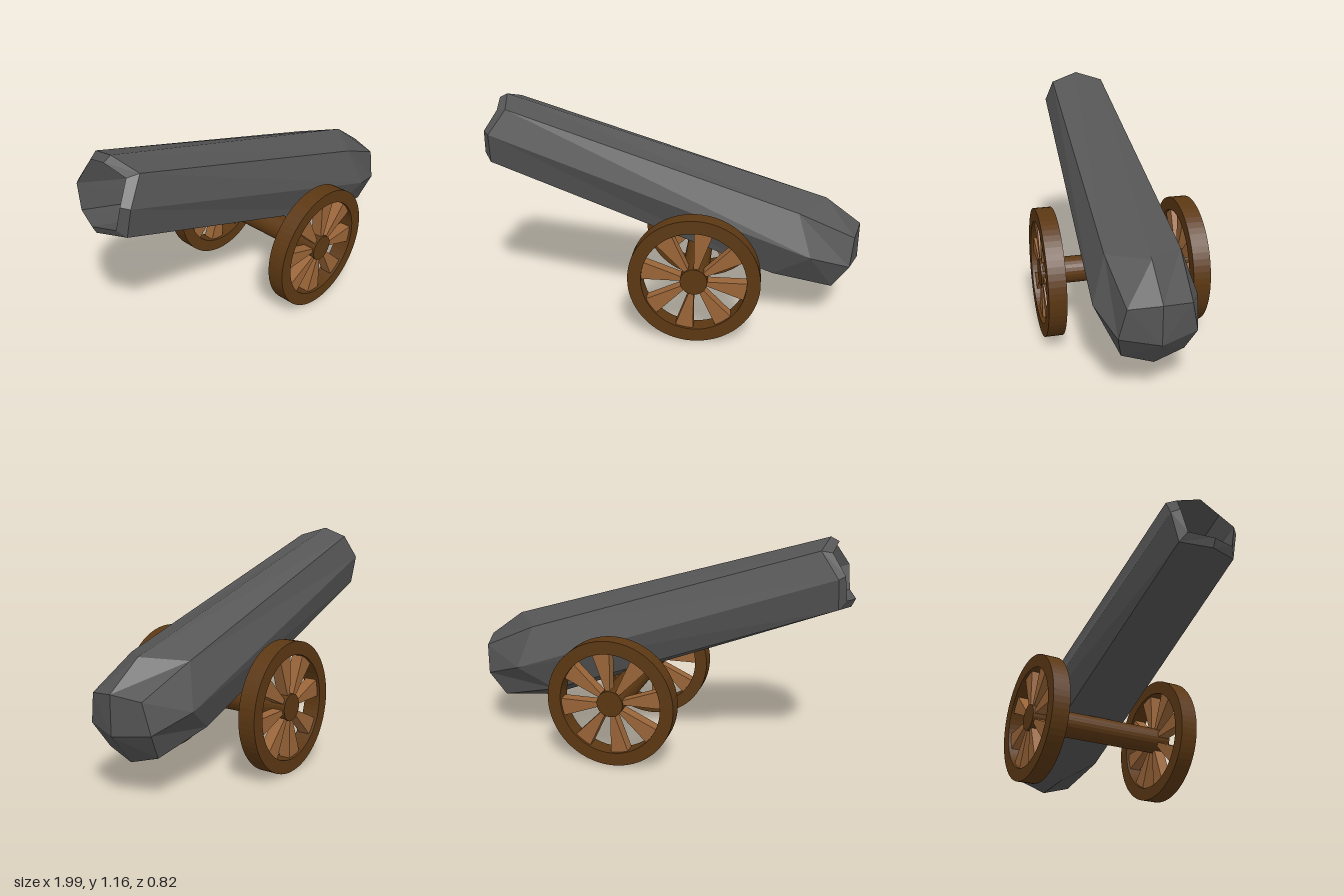
import * as THREE from 'three';

const material = (color) => new THREE.MeshStandardMaterial({ color, flatShading: true });

function addMesh(parent, name, geometry, mat) {
  const mesh = new THREE.Mesh(geometry, mat);
  mesh.name = name;
  parent.add(mesh);
  return mesh;
}

// Lofts eight-sided rings along x; each ring is [x, radius, cornerRadius, cornerX],
// where every second vertex uses the corner values.
function loftOctagons(rings) {
  const positions = [];
  const indices = [];
  for (const [x, radius, cornerRadius, cornerX] of rings) {
    for (let k = 0; k < 8; k++) {
      const r = k % 2 ? cornerRadius : radius;
      const a = (k * Math.PI) / 4;
      positions.push(k % 2 ? cornerX : x, r * Math.cos(a), r * Math.sin(a));
    }
  }
  for (let i = 0; i < rings.length - 1; i++) {
    for (let k = 0; k < 8; k++) {
      const a = i * 8 + k;
      const b = i * 8 + ((k + 1) % 8);
      indices.push(a, b, b + 8, a, b + 8, a + 8);
    }
  }
  const geometry = new THREE.BufferGeometry();
  geometry.setAttribute('position', new THREE.Float32BufferAttribute(positions, 3));
  geometry.setIndex(indices);
  const flat = geometry.toNonIndexed();
  flat.computeVertexNormals();
  return flat;
}

// Extrudes a shape along z, centred on z = 0
function slab(shape, depth) {
  return new THREE.ExtrudeGeometry(shape, { depth, bevelEnabled: false, curveSegments: 32 })
    .translate(0, 0, -depth / 2);
}

function createWheel(wood, spokeWood) {
  const wheel = new THREE.Group();

  // Rim
  const ring = new THREE.Shape().absarc(0, 0, 0.333, 0, Math.PI * 2, false);
  ring.holes.push(new THREE.Path().absarc(0, 0, 0.265, 0, Math.PI * 2, true));
  addMesh(wheel, 'wheelRim', slab(ring, 0.09), wood);

  // Hub
  addMesh(wheel, 'hub', new THREE.CylinderGeometry(0.069, 0.069, 0.08, 24).rotateX(Math.PI / 2), wood);

  // Eight wedge-shaped spokes
  const width = THREE.MathUtils.degToRad(20);
  const corner = (r, a) => new THREE.Vector2(r * Math.cos(a), r * Math.sin(a));
  const wedge = new THREE.Shape([corner(0.05, -width), corner(0.275, -width), corner(0.275, 0), corner(0.05, 0)]);
  const spokeGeometry = slab(wedge, 0.06);
  for (let i = 0; i < 8; i++) {
    addMesh(wheel, 'spoke', spokeGeometry, spokeWood).rotation.z = (i * Math.PI) / 4;
  }
  return wheel;
}

export function createModel() {
  const model = new THREE.Group();
  model.name = 'cannon';
  const iron = material(0x555555);
  const wood = material(0x5c3813);
  const spokeWood = material(0x9a6538);

  // Barrel: bore, muzzle lip, tapered body, bevelled breech closing to a point
  const barrel = addMesh(model, 'barrel', loftOctagons([
    [-1.25, 0, 0, -1.25],
    [-1.25, 0.14, 0.15, -1.25],
    [-1.776, 0.148, 0.17, -1.746],
    [-1.744, 0.181, 0.21, -1.70],
    [0, 0.25, 0.255, -0.133],
    [0.217, 0.182, 0.21, 0.185],
    [0.28, 0, 0, 0.28],
  ]), iron);
  barrel.position.set(0.73, 0.42, 0);
  barrel.rotation.z = THREE.MathUtils.degToRad(-19.2);

  // Axle
  const axle = addMesh(model, 'axle', new THREE.CylinderGeometry(0.069, 0.069, 0.7, 24).rotateX(Math.PI / 2), wood);
  axle.position.set(0.152, 0.334, 0);

  // Wheels
  for (const side of [1, -1]) {
    const wheel = createWheel(wood, spokeWood);
    wheel.name = side > 0 ? 'frontWheel' : 'backWheel';
    wheel.position.set(0.152, 0.334, side * 0.365);
    model.add(wheel);
  }
  return model;
}
